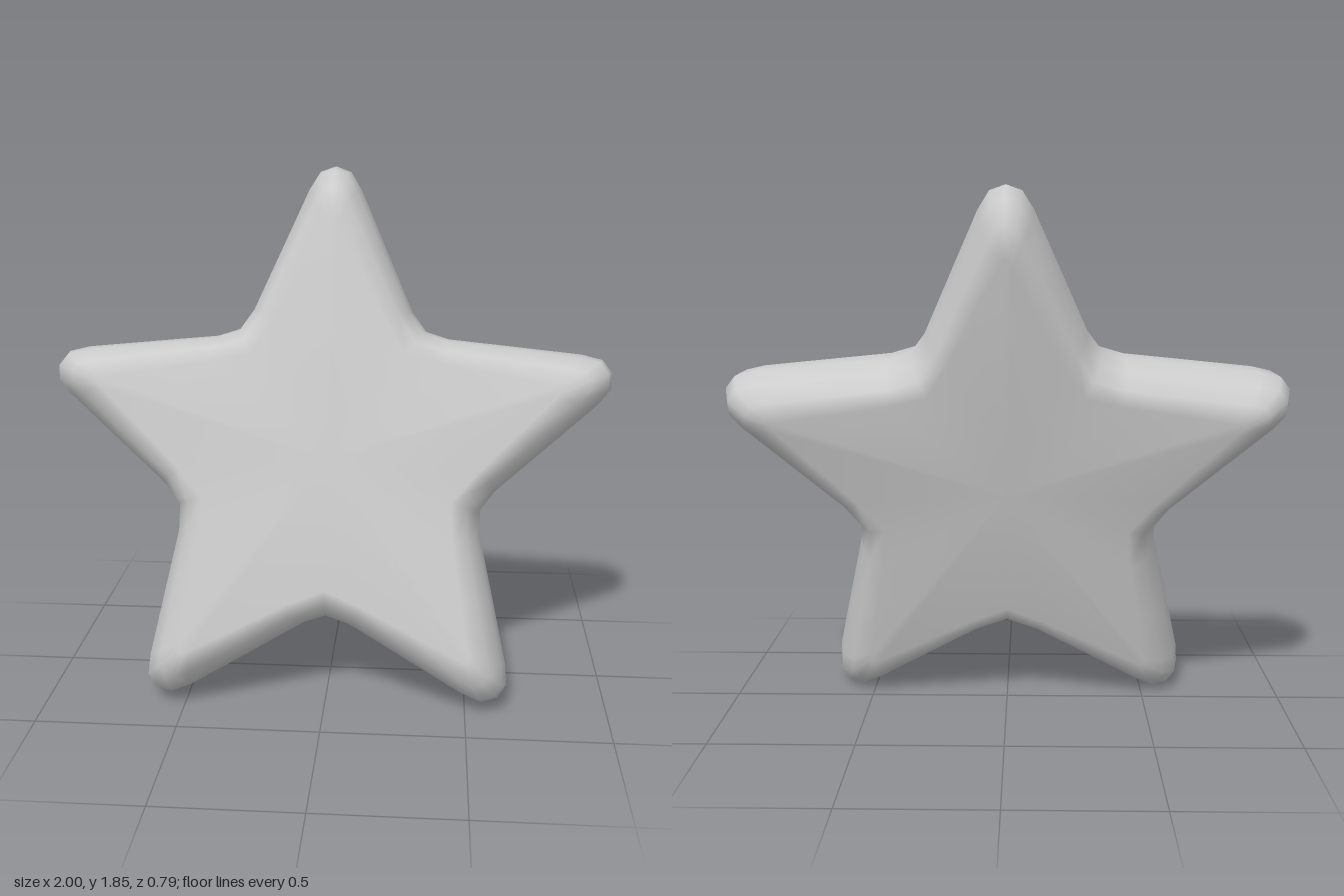
import * as THREE from 'three';

const HALF_THICKNESS = 0.205;
const ROUND_STEPS = 6;
const TILT = THREE.MathUtils.degToRad(15);

// Half of one arm: [outer side, outer radial, face side, face radial], tip to valley
const TIP = [0, 1.05, 0, 0.85];
const EDGE = [
  [0.055, 1.03, 0.012, 0.845],
  [0.095, 0.965, 0.022, 0.82],
  [0.19, 0.748, 0.105, 0.66],
  [0.285, 0.53, 0.193, 0.487],
];
const VALLEY = [0.335, 0.461, 0.267, 0.368];

// Clockwise outline of all five arms
function starOutline() {
  const mirror = ([s, r, fs, fr]) => [-s, r, -fs, fr];
  const arm = [...EDGE.map(mirror).reverse(), TIP, ...EDGE, VALLEY];
  const points = [];
  for (let k = 0; k < 5; k++) {
    const c = Math.cos((k * Math.PI * 2) / 5), n = Math.sin((k * Math.PI * 2) / 5);
    for (const [s, r, fs, fr] of arm) {
      points.push({
        outer: new THREE.Vector2(s * c + r * n, r * c - s * n),
        face: new THREE.Vector2(fs * c + fr * n, fr * c - fs * n),
      });
    }
  }
  return points;
}

// Rounded rim swept from the front face to the back face, closed by two flat fans
function starGeometry() {
  const outline = starOutline();
  const count = outline.length;
  const position = [], index = [];

  for (let j = 0; j <= ROUND_STEPS; j++) {
    const a = Math.PI / 2 - (j / ROUND_STEPS) * Math.PI;
    for (const { outer, face } of outline) {
      const p = face.clone().lerp(outer, Math.cos(a));
      position.push(p.x, p.y, HALF_THICKNESS * Math.sin(a));
    }
  }
  const front = position.length / 3, back = front + 1;
  position.push(0, 0, HALF_THICKNESS, 0, 0, -HALF_THICKNESS);

  for (let i = 0; i < count; i++) {
    const next = (i + 1) % count;
    for (let j = 0; j < ROUND_STEPS; j++) {
      const a = j * count + i, b = j * count + next;
      index.push(a, b, a + count, b, b + count, a + count);
    }
    const last = ROUND_STEPS * count;
    index.push(front, next, i, back, last + i, last + next);
  }

  const geometry = new THREE.BufferGeometry();
  geometry.setAttribute('position', new THREE.Float32BufferAttribute(position, 3));
  geometry.setIndex(index);
  return geometry;
}

export function createModel() {
  const group = new THREE.Group();
  group.name = 'star';

  // Lean the star back, then stand it on the ground
  const geometry = starGeometry();
  geometry.rotateX(-TILT);
  geometry.center();
  geometry.computeBoundingBox();
  geometry.translate(0, -geometry.boundingBox.min.y, 0);
  geometry.computeVertexNormals();

  const body = new THREE.Mesh(geometry, new THREE.MeshStandardMaterial({ color: 0xcccccc }));
  body.name = 'starBody';
  group.add(body);
  return group;
}
